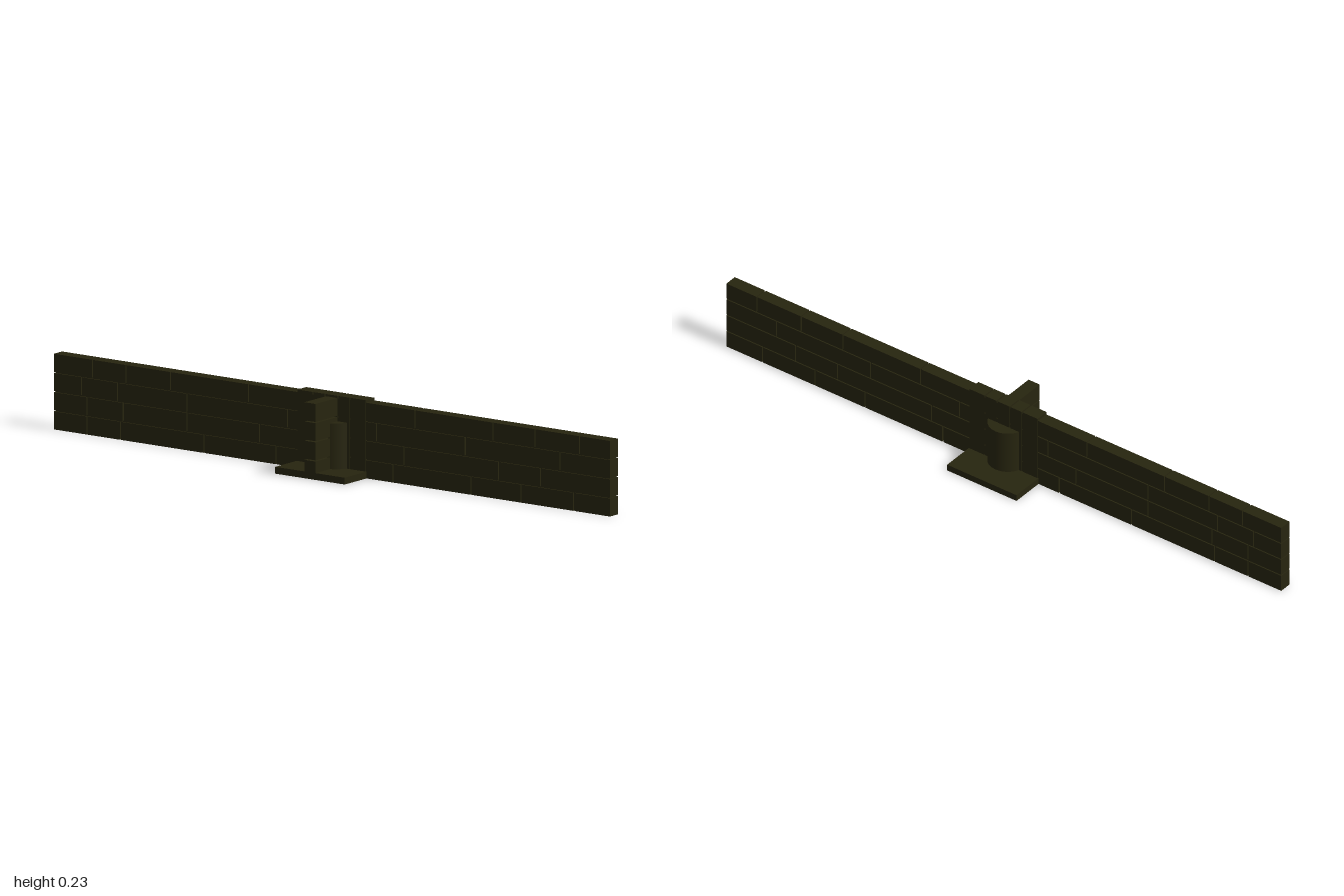
import * as THREE from 'three';

export function createModel() {
  const model = new THREE.Group();
  const stone = new THREE.MeshStandardMaterial({ color: 0x27250f });
  stone.name = 'dark olive stone';

  const add = (name, geometry, x, y, z, parent = model) => {
    const mesh = new THREE.Mesh(geometry, stone);
    mesh.name = name;
    mesh.position.set(x, y, z);
    parent.add(mesh);
    return mesh;
  };
  const box = (name, w, h, d, x, y, z, parent) =>
    add(name, new THREE.BoxGeometry(w, h, d), x, y, z, parent);

  const pitch = 0.0565, brickHeight = 0.053, gap = 0.004;

  // Square foot and round pier
  box('basePlate', 0.25, 0.02, 0.25, 0, 0.01, 0);
  add('pier', new THREE.CylinderGeometry(0.06, 0.06, 0.135, 24), 0, 0.0875, 0);

  // Long wall: four courses of staggered bricks around a thin core
  const wall = new THREE.Group();
  wall.name = 'longWall';
  model.add(wall);
  box('wallCore', 1.99, 0.218, 0.03, 0, 0.111, 0, wall);
  const joints = [
    [-0.88, -0.76, -0.46, -0.2, 0.22, 0.5, 0.68, 0.87],
    [-0.88, -0.75, -0.52, -0.26, 0.26, 0.6, 0.75],
    [-0.9, -0.77, -0.52, -0.16, 0.16, 0.48, 0.82],
    [-0.86, -0.74, -0.58, -0.3, 0.3, 0.58, 0.73, 0.89],
  ];
  joints.forEach((course, row) => {
    const ends = [-1 - gap / 2, ...course, 1 + gap / 2];
    for (let i = 0; i < ends.length - 1; i++) {
      const width = ends[i + 1] - ends[i] - gap;
      box('wallBrick', width, brickHeight, 0.04,
        (ends[i] + ends[i + 1]) / 2, row * pitch + brickHeight / 2, 0, wall);
    }
  });

  // Slightly proud centre section, made of upright blocks
  const centre = new THREE.Group();
  centre.name = 'centreBlocks';
  model.add(centre);
  const edges = [-0.125, -0.067, -0.024, 0.024, 0.067, 0.125];
  for (let i = 0; i < edges.length - 1; i++) {
    box('centreBlock', edges[i + 1] - edges[i] - gap, 0.23, 0.043,
      (edges[i] + edges[i + 1]) / 2, 0.115, 0, centre);
  }

  // Short wall stub reaching forward, open between its courses
  const stub = new THREE.Group();
  stub.name = 'frontStub';
  model.add(stub);
  for (let row = 0; row < 4; row++) {
    box('stubBrick', 0.04, brickHeight, 0.105, 0,
      row * pitch + brickHeight / 2 + 0.001, 0.0725, stub);
  }
  return model;
}
